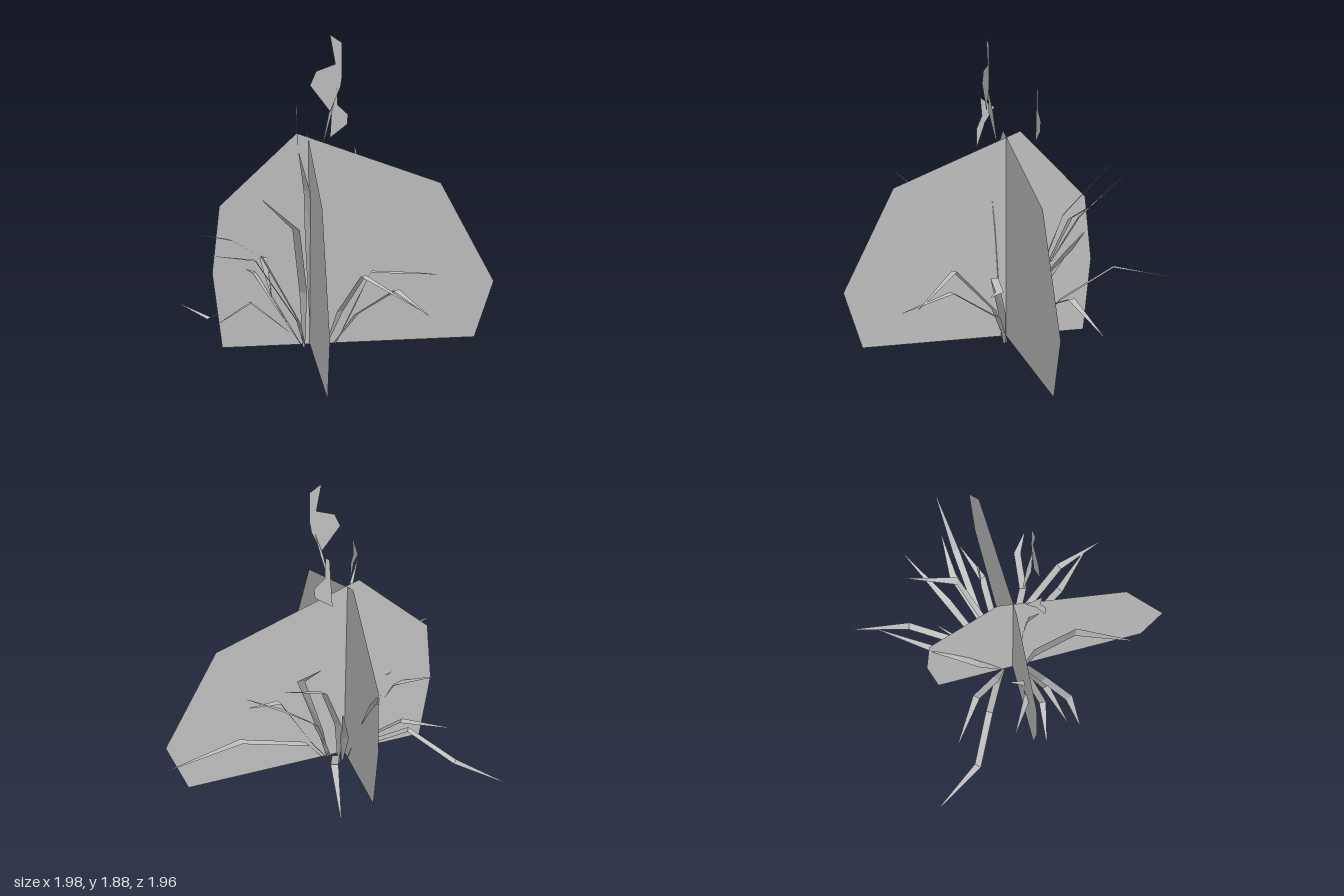
import * as THREE from 'three';

const grey = new THREE.MeshStandardMaterial({ color: 0xc0c0c0, side: THREE.DoubleSide, flatShading: true });
grey.name = 'pale grey';

function add(group, name, geometry) {
  const mesh = new THREE.Mesh(geometry, grey);
  mesh.name = name;
  group.add(mesh);
  return mesh;
}

// Flat outline in the xy plane
function outline(points) {
  return new THREE.ShapeGeometry(new THREE.Shape(points.map(([x, y]) => new THREE.Vector2(x, y))));
}

// Bent grass blade: a level-edged ribbon along a path, ending in a point
function blade(path, width = 0.045) {
  const pts = path.map((p) => new THREE.Vector3(...p));
  const n = pts.length - 1;
  const pos = [], index = [];
  pts.forEach((p, i) => {
    const dir = pts[Math.min(i + 1, n)].clone().sub(pts[Math.max(i - 1, 0)]);
    const side = new THREE.Vector3(dir.z, 0, -dir.x).normalize();
    const half = (i === 0 ? 0.3 : i === n ? 0.12 : 1) * width / 2;
    for (const s of [-half, half]) pos.push(p.x + side.x * s, p.y, p.z + side.z * s);
    if (i < n) {
      const k = 2 * i;
      index.push(k, k + 1, k + 2, k + 1, k + 3, k + 2);
    }
  });
  const g = new THREE.BufferGeometry();
  g.setAttribute('position', new THREE.Float32BufferAttribute(pos, 3));
  g.setIndex(index);
  g.computeVertexNormals();
  return g;
}

export function createModel() {
  const model = new THREE.Group();
  model.name = 'grassTuft';

  // Two upright cards crossing each other
  add(model, 'frontCard', outline([
    [-0.73, 0.035], [0.83, 0.035], [0.945, 0.39], [0.6, 1.015],
    [-0.27, 1.33], [-0.73, 0.905], [-0.78, 0.5],
  ])).position.z = -0.03;
  // Horizontal coordinate of this card is -z
  const sideCard = add(model, 'sideCard', outline([
    [-0.87, 0.035], [0.54, 0.035], [0.585, 0.5], [0.54, 0.905],
    [0.12, 1.33], [-0.66, 1.015], [-0.975, 0.39],
  ]));
  sideCard.rotation.y = Math.PI / 2;
  sideCard.position.x = -0.2;

  // Blades, each from root to tip
  const front = [
    [[-0.06, 0.04, 0.0], [0.07, 0.25, 0.09], [0.25, 0.48, 0.4], [0.37, 0.42, 0.71]],
    [[-0.1, 0.04, 0.0], [-0.03, 0.27, 0.09], [0.07, 0.555, 0.35], [0.34, 0.425, 0.61]],
    [[-0.05, 0.04, 0.02], [0.05, 0.27, 0.06], [0.15, 0.52, 0.13], [0.4, 0.51, 0.16], [0.52, 0.52, 0.24]],
    [[-0.24, 0.03, 0.01], [-0.25, 0.4, 0.1], [-0.31, 0.83, 0.33], [-0.51, 1.055, 0.6]],
    [[-0.19, 0.03, 0.0], [-0.21, 0.7, 0.03], [-0.22, 1.0, 0.05], [-0.27, 1.23, 0.1]],
    [[-0.24, 0.06, 0.02], [-0.27, 0.2, 0.04], [-0.49, 0.62, 0.09], [-0.67, 0.75, 0.19], [-0.85, 0.79, 0.2]],
    [[-0.24, 0.05, 0.01], [-0.28, 0.2, 0.03], [-0.53, 0.6, 0.09], [-0.78, 0.65, 0.15]],
    [[-0.24, 0.03, 0.0], [-0.33, 0.14, 0.04], [-0.56, 0.34, 0.07], [-0.78, 0.19, 0.04]],
    [[-0.26, 0.05, 0.0], [-0.43, 0.35, -0.01], [-0.475, 0.58, -0.02], [-0.47, 0.68, -0.12]],
    [[-0.26, 0.05, 0.0], [-0.38, 0.25, 0.01], [-0.53, 0.5, -0.02], [-0.76, 0.6, -0.16]],
  ];
  const back = [
    [[-0.22, 0.04, -0.1], [-0.33, 0.2, -0.17], [-0.53, 0.32, -0.27], [-0.8, 0.1, -0.42], [-1.0, 0.12, -0.72]],
    [[-0.2, 0.03, -0.09], [-0.31, 0.25, -0.17], [-0.45, 0.46, -0.33], [-0.71, 0.47, -0.51]],
    [[-0.12, 0.02, -0.12], [-0.03, 0.3, -0.33], [0.09, 0.52, -0.63], [0.18, 0.455, -0.98]],
    [[-0.2, 0.04, -0.1], [-0.23, 0.4, -0.26], [-0.19, 0.78, -0.5], [-0.08, 1.09, -0.8]],
    [[-0.08, 0.04, -0.05], [0.0, 0.35, -0.13], [0.17, 0.88, -0.28], [0.155, 1.17, -0.58]],
    [[-0.13, 0.03, -0.12], [-0.08, 0.45, -0.23], [0.06, 0.83, -0.36], [0.35, 1.05, -0.55]],
    [[-0.1, 0.04, -0.06], [0.05, 0.45, -0.18], [0.28, 0.7, -0.29], [0.5, 0.85, -0.3]],
    [[-0.08, 0.04, -0.07], [0.03, 0.2, -0.08], [0.25, 0.62, -0.11], [0.46, 0.7, -0.2]],
    [[-0.05, 0.04, -0.05], [0.1, 0.3, -0.17], [0.53, 0.48, -0.22], [0.98, 0.41, -0.25]],
    [[-0.16, 0.03, -0.1], [-0.12, 0.35, -0.25], [-0.02, 0.72, -0.46]],
  ];
  front.forEach((p) => add(model, 'frontBlade', blade(p)));
  back.forEach((p) => add(model, 'backBlade', blade(p)));

  // Loose leaves floating above the tuft
  add(model, 'tallLeaf', outline([
    [-0.09, 1.905], [-0.06, 1.74], [-0.17, 1.7], [-0.205, 1.62],
    [-0.09, 1.47], [-0.03, 1.61], [-0.02, 1.67], [-0.02, 1.86],
  ])).position.z = 0.115;
  add(model, 'tallLeafStem', blade([[-0.12, 1.29, 0.05], [-0.085, 1.46, 0.09], [-0.05, 1.6, 0.115]], 0.03));
  add(model, 'shortLeaf', outline([
    [-0.01, 1.61], [-0.035, 1.59], [-0.055, 1.28], [0.05, 1.36], [0.055, 1.42], [-0.01, 1.48],
  ])).position.z = -0.175;
  const sideLeaf = add(model, 'sideLeaf', outline([
    [-0.11, 1.53], [-0.02, 1.47], [-0.08, 1.38], [-0.135, 1.22], [-0.135, 1.34], [-0.1, 1.42],
  ]));
  sideLeaf.rotation.y = Math.PI / 2;
  sideLeaf.position.x = -0.28;

  return model;
}
